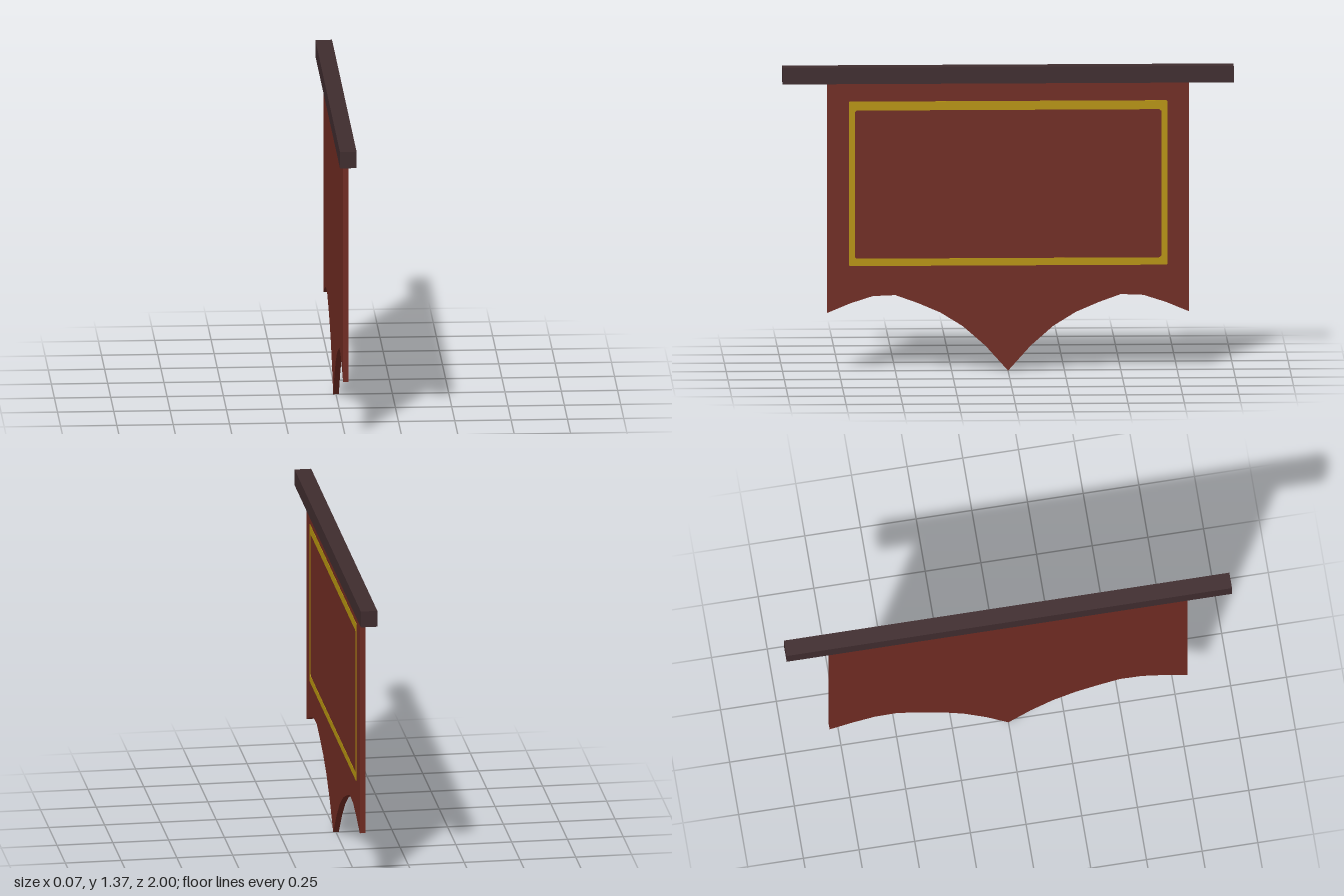
import * as THREE from 'three';

const wood = new THREE.MeshStandardMaterial({ color: 0x3f2c2e, name: 'dark wood' });
const red = new THREE.MeshStandardMaterial({ color: 0x702b22, name: 'red cloth' });
const gold = new THREE.MeshStandardMaterial({ color: 0xb5930f, name: 'gold trim' });

// Extrudes a side profile (z, y) along x, starting at x0
function sidePlate(name, shape, x0, thickness, material) {
  const geo = new THREE.ExtrudeGeometry(shape, { depth: thickness, bevelEnabled: false });
  geo.rotateY(Math.PI / 2).translate(x0, 0, 0);
  const mesh = new THREE.Mesh(geo, material);
  mesh.name = name;
  return mesh;
}

// Corner points of a rectangle with small cut corners
function cutRect(halfW, bottom, top, cut) {
  return [
    [-halfW + cut, bottom], [halfW - cut, bottom], [halfW, bottom + cut], [halfW, top - cut],
    [halfW - cut, top], [-halfW + cut, top], [-halfW, top - cut], [-halfW, bottom + cut],
  ].map(([x, y]) => new THREE.Vector2(x, y));
}

export function createModel() {
  const group = new THREE.Group();
  group.name = 'hangingBanner';

  // Square pole across the top
  const pole = new THREE.Mesh(new THREE.BoxGeometry(0.074, 0.074, 2), wood);
  pole.name = 'pole';
  pole.position.y = 1.328;
  group.add(pole);

  // Cloth with a scalloped, pointed lower edge, mirrored about the middle
  const edge = [[0, 0], [0.1, 0.112], [0.2, 0.2], [0.3, 0.262], [0.4, 0.305],
    [0.5, 0.341], [0.6, 0.337], [0.7, 0.305], [0.803, 0.262], [0.803, 1.295]];
  const outline = [...edge, ...edge.slice(1).reverse().map(([x, y]) => [-x, y])];
  const cloth = new THREE.Shape(outline.map(([x, y]) => new THREE.Vector2(x, y)));
  group.add(sidePlate('cloth', cloth, -0.0125, 0.025, red));

  // Thin gold frame on the +x face only
  const frame = new THREE.Shape(cutRect(0.706, 0.472, 1.209, 0.004));
  frame.holes.push(new THREE.Path(cutRect(0.68, 0.505, 1.169, 0.008).reverse()));
  group.add(sidePlate('trimFrame', frame, 0.012, 0.002, gold));

  return group;
}
